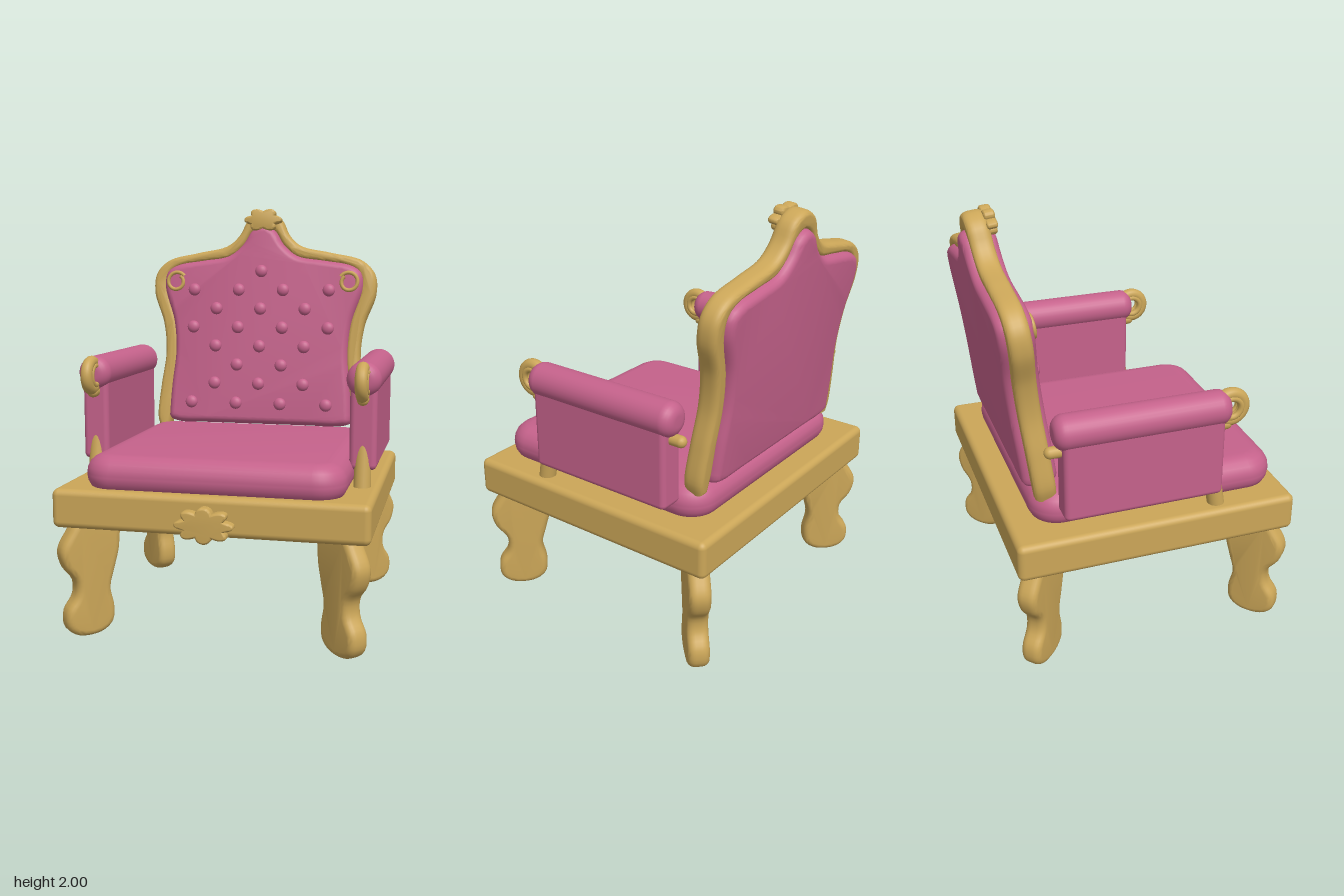
import * as THREE from 'three';
import { toCreasedNormals } from 'three/addons/utils/BufferGeometryUtils.js';
import { RoundedBoxGeometry } from 'three/addons/geometries/RoundedBoxGeometry.js';

const gold = new THREE.MeshStandardMaterial({ color: 0xcba658 });
gold.name = 'gold wood';
const pink = new THREE.MeshStandardMaterial({ color: 0xc5628b });
pink.name = 'pink upholstery';

function add(parent, name, geometry, material, x = 0, y = 0, z = 0) {
  const mesh = new THREE.Mesh(geometry, material);
  mesh.name = name;
  mesh.position.set(x, y, z);
  parent.add(mesh);
  return mesh;
}

// Smooth run of points through a few [x, y] pairs
function smooth(pairs, count, closed = false) {
  const curve = new THREE.CatmullRomCurve3(pairs.map(([x, y]) => new THREE.Vector3(x, y, 0)), closed);
  return curve.getSpacedPoints(count).slice(0, closed ? -1 : undefined).map(p => new THREE.Vector2(p.x, p.y));
}

// Plate of the given total thickness, centred on z = 0, with edges rounded inwards
function plate(points, thickness, round, size = round) {
  const geometry = new THREE.ExtrudeGeometry(new THREE.Shape(points), {
    depth: thickness - 2 * round, bevelThickness: round, bevelSize: size,
    bevelOffset: -size, bevelSegments: 5, steps: 1,
  });
  geometry.translate(0, 0, round - thickness / 2);
  return toCreasedNormals(geometry, 0.7);
}

// Left-right symmetric path: half runs from lower right up to the centre line
function mirrored(half) {
  return [...half, ...half.slice(0, -1).reverse().map(([x, y]) => [-x, y])];
}

// Carved flower with rounded petals
function rosette(rx, ry, petals, depth) {
  const points = [];
  for (let i = 0; i < 96; i++) {
    const a = (i / 96) * Math.PI * 2;
    const r = 0.72 + 0.28 * Math.abs(Math.cos((petals * a) / 2));
    points.push(new THREE.Vector2(rx * r * Math.cos(a), ry * r * Math.sin(a)));
  }
  return plate(points, depth, 0.012, 0.01);
}

function addBase(model) {
  add(model, 'seatFrame', new RoundedBoxGeometry(1.44, 0.18, 1.325, 4, 0.03), gold, 0, 0.62, -0.0075);
  add(model, 'frontRosette', rosette(0.135, 0.082, 8, 0.06), gold, 0, 0.59, 0.67);

  // Plate-like curved legs, turned out to the corners
  const profile = smooth([
    [0.05, 0.56], [0.1, 0.5], [0.142, 0.42], [0.125, 0.34], [0.075, 0.27], [0.075, 0.2], [0.118, 0.13],
    [0.115, 0.05], [0.06, 0.008], [-0.05, 0.008], [-0.108, 0.05], [-0.118, 0.12], [-0.1, 0.22],
    [-0.125, 0.32], [-0.148, 0.42], [-0.135, 0.56],
  ], 72, true).reverse();
  const leg = plate(profile, 0.1, 0.035, 0.03);
  for (const sx of [1, -1]) for (const sz of [1, -1]) {
    const mesh = add(model, sz > 0 ? 'frontLeg' : 'backLeg', leg, gold, sx * 0.595, 0, sz * 0.54 - 0.006);
    mesh.rotation.y = -Math.atan2(sz, sx);
  }
}

function addCushion(model) {
  const hx = 0.6, hz = 0.59, r = 0.14, s = new THREE.Shape();
  s.absarc(hx - r, hz - r, r, 0, Math.PI / 2);
  s.absarc(r - hx, hz - r, r, Math.PI / 2, Math.PI);
  s.absarc(r - hx, r - hz, r, Math.PI, Math.PI * 1.5);
  s.absarc(hx - r, r - hz, r, Math.PI * 1.5, Math.PI * 2);
  const points = s.getPoints(6).filter((p, i, all) => !i || p.distanceTo(all[i - 1]) > 1e-4);
  const cushion = plate(points, 0.18, 0.085, 0.09);
  cushion.rotateX(-Math.PI / 2);
  add(model, 'seatCushion', cushion, pink, 0, 0.768, 0.03);
}

function addArm(model, side) {
  const arm = new THREE.Group();
  arm.name = side > 0 ? 'leftArm' : 'rightArm';
  arm.position.x = side * 0.64;
  model.add(arm);
  add(arm, 'armPanel', new RoundedBoxGeometry(0.125, 0.42, 0.74, 4, 0.025), pink, 0, 0.995, -0.08);

  // Padded roll with rounded ends
  const R = 0.08, e = 0.055, half = 0.405, profile = [new THREE.Vector2(0, -half)];
  for (const end of [-1, 1]) for (let i = 0; i <= 6; i++) {
    const a = (end < 0 ? i : 6 - i) / 6 * Math.PI / 2;
    profile.push(new THREE.Vector2(R - e + e * Math.sin(a), end * (half - e + e * Math.cos(a))));
  }
  profile.push(new THREE.Vector2(0, half));
  const roll = new THREE.LatheGeometry(profile, 32);
  roll.rotateX(Math.PI / 2);
  add(arm, 'armRoll', roll, pink, 0, 1.2, -0.08);

  // Rail under the roll, ending in a scroll
  const rail = new THREE.CapsuleGeometry(0.027, 0.81, 6, 16);
  rail.rotateX(Math.PI / 2);
  add(arm, 'armRail', rail, gold, 0, 1.112, -0.09);
  const outer = new THREE.TorusGeometry(0.064, 0.028, 14, 40);
  outer.rotateY(Math.PI / 2);
  add(arm, 'armScroll', outer, gold, 0, 1.193, 0.33);
  const inner = new THREE.TorusGeometry(0.046, 0.014, 10, 32);
  inner.rotateY(Math.PI / 2);
  for (const x of [-0.018, 0.018]) add(arm, 'scrollRing', inner, gold, x, 1.193, 0.33);

  // Post leaning back into the panel
  const post = add(arm, 'armPost', new THREE.CylinderGeometry(0.035, 0.04, 0.42, 24), gold, 0, 0.9, 0.252);
  post.rotation.x = -0.165;
}

function addBack(model) {
  const back = new THREE.Group();
  back.name = 'backrest';
  back.position.set(0, 0.9, -0.5);
  back.rotation.x = -0.125;
  model.add(back);
  const local = pairs => pairs.map(([x, y]) => [x, (y - 0.9) * 1.006]);

  // Carved border, open at the bottom
  const outer = smooth(local(mirrored([
    [0.55, 0.82], [0.568, 0.88], [0.555, 1.05], [0.532, 1.235], [0.55, 1.395], [0.605, 1.555], [0.597, 1.66],
    [0.53, 1.73], [0.36, 1.772], [0.2, 1.808], [0.135, 1.865], [0.085, 1.955], [0, 1.992],
  ])), 140);
  const innerHalf = [
    [0.482, 0.92], [0.475, 1.05], [0.458, 1.235], [0.472, 1.395], [0.526, 1.58], [0.515, 1.66],
    [0.46, 1.697], [0.32, 1.722], [0.18, 1.747], [0.105, 1.81], [0.06, 1.88], [0, 1.908],
  ];
  const inner = smooth(local(mirrored([[0.5, 0.82], ...innerHalf])), 120);
  add(back, 'backFrame', plate([...outer, ...inner.reverse()], 0.1, 0.035, 0.022), gold);

  // Padded panel showing on both faces
  const padPoints = smooth(local(mirrored([
    [0.25, 0.852], [0.43, 0.853], [0.48, 0.872], ...innerHalf,
  ]).map(([x, y]) => [x * 1.025, y + 0.006])), 150, true);
  add(back, 'backPad', plate(padPoints, 0.16, 0.045, 0.035), pink);

  // Tufting buttons
  const rows = [
    [1.68, [0]], [1.58, [0.365, 0.12]], [1.48, [0.24, 0]], [1.38, [0.365, 0.12]],
    [1.28, [0.24, 0]], [1.18, [0.12]], [1.08, [0.24, 0]], [0.975, [0.365, 0.12]],
  ];
  const button = new THREE.SphereGeometry(0.033, 20, 12);
  button.scale(1, 1, 0.7);
  for (const [y, xs] of rows) for (const x of xs) for (const s of x ? [1, -1] : [1]) {
    add(back, 'tuftButton', button, pink, s * x, y - 0.9 - 0.008, 0.082);
  }

  // Curled ornaments at the shoulders
  for (const s of [1, -1]) {
    const curl = [];
    for (let i = 0; i <= 24; i++) {
      const a = 0.6 + i / 24 * 6.6, r = 0.052 - i / 24 * 0.016;
      curl.push(new THREE.Vector3(-s * r * Math.cos(a), r * Math.sin(a), 0));
    }
    const tube = new THREE.TubeGeometry(new THREE.CatmullRomCurve3(curl), 60, 0.01, 8);
    add(back, 'shoulderCurl', tube, gold, s * 0.468, 0.715, 0.08);
  }
  add(back, 'crestRosette', rosette(0.102, 0.062, 6, 0.05), gold, 0, 1.045, 0.062);
}

export function createModel() {
  const model = new THREE.Group();
  model.name = 'armchair';
  addBase(model);
  addCushion(model);
  for (const side of [1, -1]) addArm(model, side);
  addBack(model);
  return model;
}
